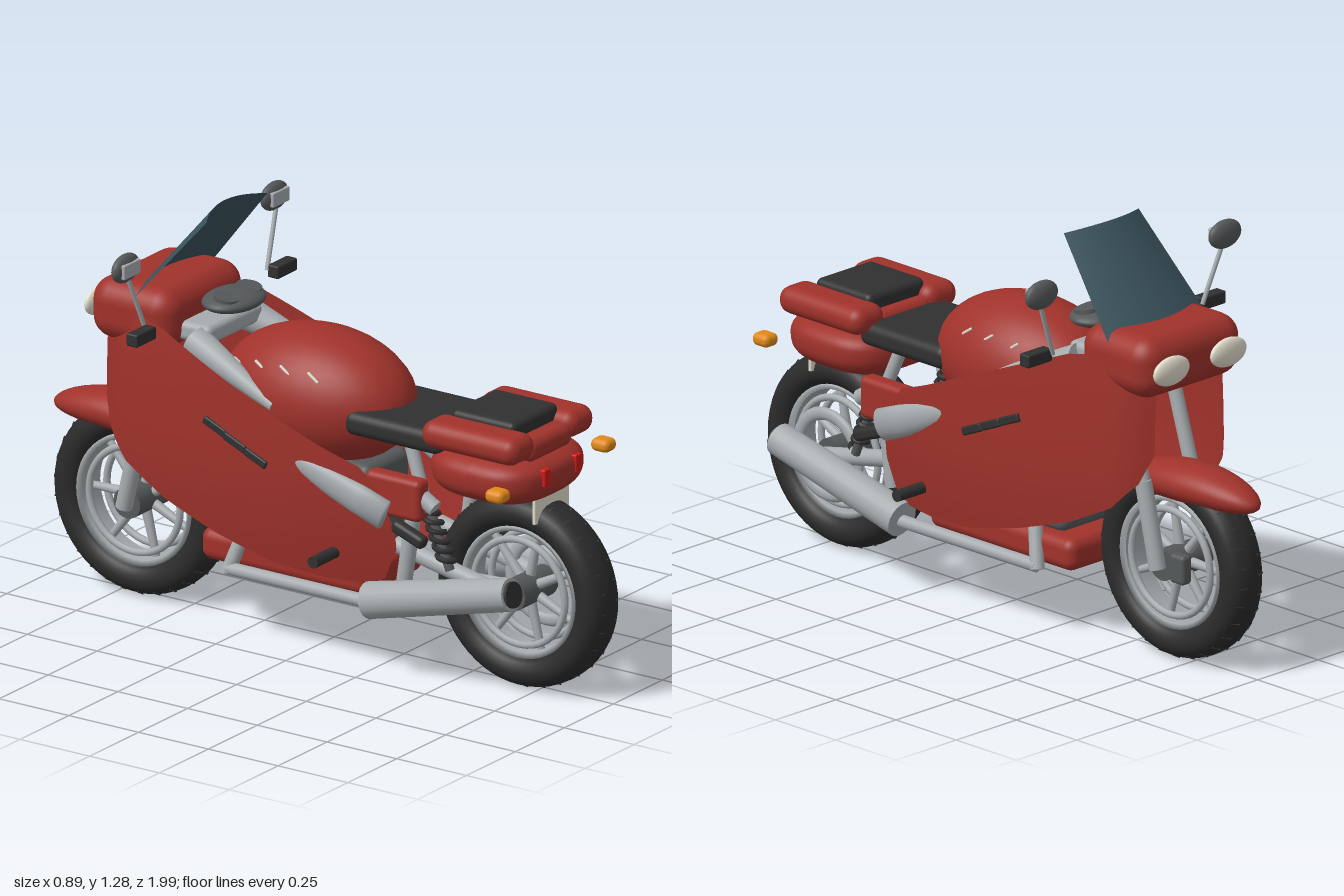
import * as THREE from 'three';
import { RoundedBoxGeometry } from 'three/addons/geometries/RoundedBoxGeometry.js';
import { mergeGeometries } from 'three/addons/utils/BufferGeometryUtils.js';

const mat = (color, extra = {}) => new THREE.MeshStandardMaterial({ color, ...extra });
const RED = mat(0xa0322b), DARK = mat(0x303030), STEEL = mat(0xa6abae), GREY = mat(0x55585a);
const CREAM = mat(0xe2decd), ORANGE = mat(0xe08a1a), LAMP = mat(0xcc1a14);
const RED_SHEET = mat(0xa0322b, { side: THREE.DoubleSide });
const GLASS = mat(0x3a525c, { side: THREE.DoubleSide });
const TYRE = mat(0x2b2b2b, { side: THREE.DoubleSide });
const RIM = mat(0xa6abae, { side: THREE.DoubleSide });
const SIDES = [-1, 1];
const V = (x, y, z) => new THREE.Vector3(x, y, z);

// Moves every vertex of a geometry by a rule fn(x, y, z) -> [x, y, z]
function reshape(g, fn) {
  const p = g.attributes.position;
  for (let i = 0; i < p.count; i++) p.setXYZ(i, ...fn(p.getX(i), p.getY(i), p.getZ(i)));
  g.computeVertexNormals();
  return g;
}

// Curved sheet from a rule fn(u, v) -> [x, y, z]
const sheet = (fn, nu, nv) =>
  reshape(new THREE.PlaneGeometry(1, 1, nu, nv), (x, y) => fn(x + 0.5, y + 0.5));

// Linear lookup in rows of [z, bottom, top]
function lookup(rows, t) {
  const f = t * (rows.length - 1), i = Math.min(Math.floor(f), rows.length - 2);
  return rows[i].map((a, k) => a + (rows[i + 1][k] - a) * (f - i));
}

// Half width of the fairing at a given length and height
const panelX = (z, y) => 0.275 - (z > -0.1 ? 0.36 : 0.24) * (z + 0.1) ** 2
  - (y > 0.62 ? 0.12 : 0.3) * (y - 0.62) ** 2 - 3 * Math.min(0, z + 0.6) ** 2;

export function createModel() {
  const root = new THREE.Group();
  const add = (name, geo, material, x = 0, y = 0, z = 0, parent = root) => {
    const m = new THREE.Mesh(geo, material);
    m.name = name;
    m.position.set(x, y, z);
    parent.add(m);
    return m;
  };
  const box = (name, material, w, h, d, x, y, z, r = 0.01) =>
    add(name, new RoundedBoxGeometry(w, h, d, 4, r), material, x, y, z);
  const ball = (name, material, rx, ry, rz, x, y, z) =>
    add(name, new THREE.SphereGeometry(1, 32, 20).scale(rx, ry, rz), material, x, y, z);
  const rod = (name, material, a, b, r0, r1 = r0, parent = root) => {
    const d = b.clone().sub(a);
    const m = add(name, new THREE.CylinderGeometry(r1, r0, d.length(), 20), material, 0, 0, 0, parent);
    m.position.copy(a).addScaledVector(d, 0.5);
    m.quaternion.setFromUnitVectors(V(0, 1, 0), d.normalize());
    return m;
  };

  // Wheels: tyre, tread, rim, inner rings, spokes, hub
  function wheel(name, z, half) {
    const g = new THREE.Group();
    g.name = name;
    g.position.set(0, 0.298, z);
    root.add(g);
    const prof = [];
    for (let i = 0; i <= 20; i++) {
      const a = (i / 20) * Math.PI * 2;
      prof.push(new THREE.Vector2(0.246 + 0.052 * Math.cos(a),
        half * Math.sign(Math.sin(a)) * Math.abs(Math.sin(a)) ** 0.8));
    }
    add('tyre', new THREE.LatheGeometry(prof, 56).rotateZ(Math.PI / 2), TYRE, 0, 0, 0, g);
    const bars = [];
    for (let i = 0; i < 30; i++)
      for (const s of SIDES)
        bars.push(new THREE.BoxGeometry(0.03, 0.01, 0.004).rotateZ(s * -0.5)
          .translate(s * 0.037, 0.288, 0).rotateX(((i + s * 0.25) / 30) * Math.PI * 2));
    add('tread', mergeGeometries(bars), DARK, 0, 0, 0, g);
    const rim = [[0.187, -0.045], [0.203, -0.055], [0.206, 0], [0.203, 0.055], [0.187, 0.045], [0.187, -0.045]]
      .map(([r, y]) => new THREE.Vector2(r, y));
    add('rim', new THREE.LatheGeometry(rim, 48).rotateZ(Math.PI / 2), RIM, 0, 0, 0, g);
    for (let i = 0; i < 7; i++) {
      const a = (i / 7) * Math.PI * 2 + 0.2, c = Math.cos(a), s = Math.sin(a);
      rod('spoke', STEEL, V(0, 0.03 * c, 0.03 * s), V(0, 0.195 * c, 0.195 * s), 0.016, 0.011, g);
    }
    rod('hub', GREY, V(-0.085, 0, 0), V(0.085, 0, 0), 0.048, 0.048, g);
    for (const s of SIDES)
      add('innerRing', new THREE.TorusGeometry(0.163, 0.011, 10, 40).rotateY(Math.PI / 2), STEEL, s * 0.045, 0, 0, g);
  }
  wheel('rearWheel', 0.695, 0.075);
  wheel('frontWheel', -0.685, 0.068);
  add('rearBrakeDisc', new THREE.TorusGeometry(0.125, 0.02, 10, 40).rotateY(Math.PI / 2).scale(0.6, 1, 1),
    STEEL, 0.09, 0.298, 0.695);

  // Front fender: ellipsoid bent down towards its ends
  add('frontFender', reshape(new THREE.SphereGeometry(1, 36, 24).scale(0.09, 0.062, 0.27),
    (x, y, z) => [x, y - 0.35 * (z + 0.05) ** 2, z]), RED, 0, 0.55, -0.73);

  // Front fork and steering head
  for (const s of SIDES) {
    rod('forkSlider', STEEL, V(s * 0.1, 0.29, -0.685), V(s * 0.1, 0.55, -0.625), 0.026);
    rod('forkTube', STEEL, V(s * 0.1, 0.55, -0.625), V(s * 0.1, 0.95, -0.5), 0.022);
    rod('headBrace', STEEL, V(s * 0.14, 0.88, -0.4), V(s * 0.195, 0.76, -0.08), 0.05, 0.018);
  }
  box('caliper', GREY, 0.04, 0.09, 0.06, 0.11, 0.32, -0.79, 0.012);
  box('tripleClamp', STEEL, 0.28, 0.06, 0.14, 0, 0.9, -0.42, 0.02);

  // Engine with cooling fins, belly pan
  box('engine', GREY, 0.22, 0.3, 0.5, 0, 0.45, -0.05, 0.03);
  for (let i = 0; i < 9; i++) box('fin', GREY, 0.26, 0.012, 0.44, 0, 0.34 + i * 0.03, -0.06, 0.005);
  box('bellyPan', RED, 0.31, 0.1, 0.6, 0, 0.258, -0.08, 0.034);

  // Fairing side panels
  const rows = [[0.353, 0.40, 0.46], [0.31, 0.30, 0.58], [0.25, 0.278, 0.65], [0.12, 0.277, 0.70],
    [-0.05, 0.295, 0.772], [-0.25, 0.345, 0.855], [-0.45, 0.41, 0.935], [-0.6, 0.485, 0.96],
    [-0.68, 0.57, 0.96], [-0.716, 0.66, 0.95]];
  // Scoop profile: open rear end tapering to a rounded tip
  const scoop = [[0, 0], [0.05, 0], [0.049, 0.1], [0.043, 0.2], [0.033, 0.28], [0.02, 0.335], [0, 0.36]]
    .map(([r, y]) => new THREE.Vector2(r, y));
  for (const s of SIDES) {
    add(s > 0 ? 'leftFairing' : 'rightFairing', sheet((u, v) => {
      const [z, lo, hi] = lookup(rows, u), y = lo + (hi - lo) * v;
      return [s * panelX(z, y), y, z];
    }, 45, 16), RED_SHEET);
    // Vent slats
    for (let i = 0; i < 3; i++) {
      const z = -0.09 - i * 0.075, y = 0.62 + i * 0.033;
      box('ventSlat', DARK, 0.014, 0.026, 0.085, s * panelX(z, y), y, z, 0.006).rotation.x = 0.4;
    }
    // Flattened air scoop
    const m = add('airScoop', new THREE.LatheGeometry(scoop, 24).scale(0.6, 1, 1), STEEL, s * 0.222, 0.515, 0.335);
    m.quaternion.setFromUnitVectors(V(0, 1, 0), V(s * 0.035, 0.135, -0.335).normalize());
    // Side cover and struts below the seat
    box('sideCover', RED, 0.06, 0.13, 0.2, s * 0.18, 0.57, 0.35, 0.02);
    rod('frameStub', STEEL, V(s * 0.17, 0.55, 0.48), V(s * 0.175, 0.6, 0.4), 0.025);
    rod('seatStrut', STEEL, V(s * 0.14, 0.56, 0.42), V(s * 0.12, 0.74, 0.35), 0.02);
  }

  // Nose cowl, headlights, windscreen, gauges
  box('noseCowl', RED, 0.42, 0.19, 0.3, 0, 0.932, -0.6, 0.07);
  for (const s of SIDES) ball('headlight', CREAM, 0.073, 0.045, 0.02, s * 0.118, 0.93, -0.76);
  add('windscreen', sheet((a, v) => {
    const u = a * 2 - 1;
    return [u * (0.205 - 0.05 * v), 0.985 + 0.295 * v - 0.015 * u * u, -0.645 + 0.25 * v + 0.045 * u * u];
  }, 20, 8), GLASS);
  ball('gaugePod', GREY, 0.115, 0.03, 0.085, 0, 0.98, -0.36);
  for (const s of SIDES) rod('gauge', GREY, V(s * 0.055, 0.98, -0.35), V(s * 0.055, 1.008, -0.345), 0.04);

  // Hand grips and mirrors
  for (const s of SIDES) {
    box('grip', DARK, 0.1, 0.04, 0.04, s * 0.36, 0.953, -0.44, 0.006);
    rod('mirrorStem', STEEL, V(s * 0.31, 0.955, -0.46), V(s * 0.378, 1.13, -0.475), 0.007);
    ball('mirrorShell', GREY, 0.064, 0.044, 0.024, s * 0.38, 1.163, -0.483);
    box('mirrorFace', STEEL, 0.085, 0.045, 0.014, s * 0.38, 1.163, -0.463, 0.004);
  }

  // Tank with small slits, seat
  ball('tank', RED, 0.21, 0.205, 0.32, 0, 0.755, -0.05);
  for (const s of SIDES)
    for (let i = 0; i < 4; i++) {
      const z = 0.04 - i * 0.095, k = Math.sqrt(1 - ((z + 0.05) / 0.32) ** 2);
      box('tankSlit', CREAM, 0.008, 0.008, 0.045, s * 0.174 * k, 0.755 + 0.115 * k, z, 0.003).rotation.x = 0.6;
    }
  box('seat', DARK, 0.33, 0.075, 0.36, 0, 0.745, 0.32, 0.03);

  // Tail: rounded body with side pods, pad, lights and plate
  const fat = (c, e) => Math.sign(c) * Math.abs(c) ** e;
  add('tailBody', reshape(new THREE.SphereGeometry(1, 40, 28), (x, y, z) =>
    [0.208 * fat(x, 0.7), (y > 0 ? 0.07 : 0.095) * fat(y, 0.75), 0.2 * fat(z, 0.7)]), RED, 0, 0.68, 0.62);
  box('tailDeck', RED, 0.22, 0.07, 0.33, 0, 0.765, 0.62, 0.03);
  box('tailPad', DARK, 0.235, 0.06, 0.23, 0, 0.818, 0.61, 0.02);
  box('rearPlate', CREAM, 0.175, 0.13, 0.012, 0, 0.6, 0.775, 0.004);
  for (const s of SIDES) {
    box('tailPod', RED, 0.13, 0.085, 0.345, s * 0.15, 0.788, 0.62, 0.04);
    box('tailLight', LAMP, 0.032, 0.055, 0.02, s * 0.08, 0.69, 0.812, 0.005);
    box('turnSignal', ORANGE, 0.058, 0.04, 0.065, s * 0.27, 0.683, 0.775, 0.018);
  }

  // Swing arm, shocks, exhausts and foot pegs
  for (const s of SIDES) {
    rod('swingArm', STEEL, V(s * 0.11, 0.385, 0.3), V(s * 0.1, 0.298, 0.695), 0.026);
    rod('rearBracket', STEEL, V(s * 0.15, 0.58, 0.4), V(s * 0.155, 0.3, 0.36), 0.024);
    const a = V(s * 0.15, 0.36, 0.52), b = V(s * 0.15, 0.6, 0.42);
    rod('shockRod', GREY, a, b, 0.014);
    const coil = [];
    for (let i = 0; i <= 84; i++) {
      const p = a.clone().lerp(b, 0.1 + 0.8 * i / 84), t = (i / 12) * Math.PI * 2;
      coil.push(p.add(V(0.024 * Math.cos(t), 0, 0.024 * Math.sin(t))));
    }
    add('shockSpring', new THREE.TubeGeometry(new THREE.CatmullRomCurve3(coil), 120, 0.008, 6), DARK);
    rod('muffler', STEEL, V(s * 0.207, 0.232, 0.27), V(s * 0.207, 0.355, 0.78), 0.056, 0.05);
    rod('mufflerTip', DARK, V(s * 0.207, 0.35, 0.76), V(s * 0.207, 0.357, 0.79), 0.04);
    rod('exhaustPipe', STEEL, V(s * 0.207, 0.226, 0.3), V(s * 0.175, 0.212, -0.26), 0.02);
    rod('exhaustHeader', STEEL, V(s * 0.175, 0.2, -0.26), V(s * 0.135, 0.36, -0.21), 0.022);
    rod('footPeg', DARK, V(s * 0.22, 0.365, 0.16), V(s * 0.34, 0.365, 0.16), 0.018);
    box('pegBracket', DARK, 0.04, 0.04, 0.12, s * 0.2, 0.465, 0.41, 0.015).rotation.x = 0.35;
  }
  return root;
}
